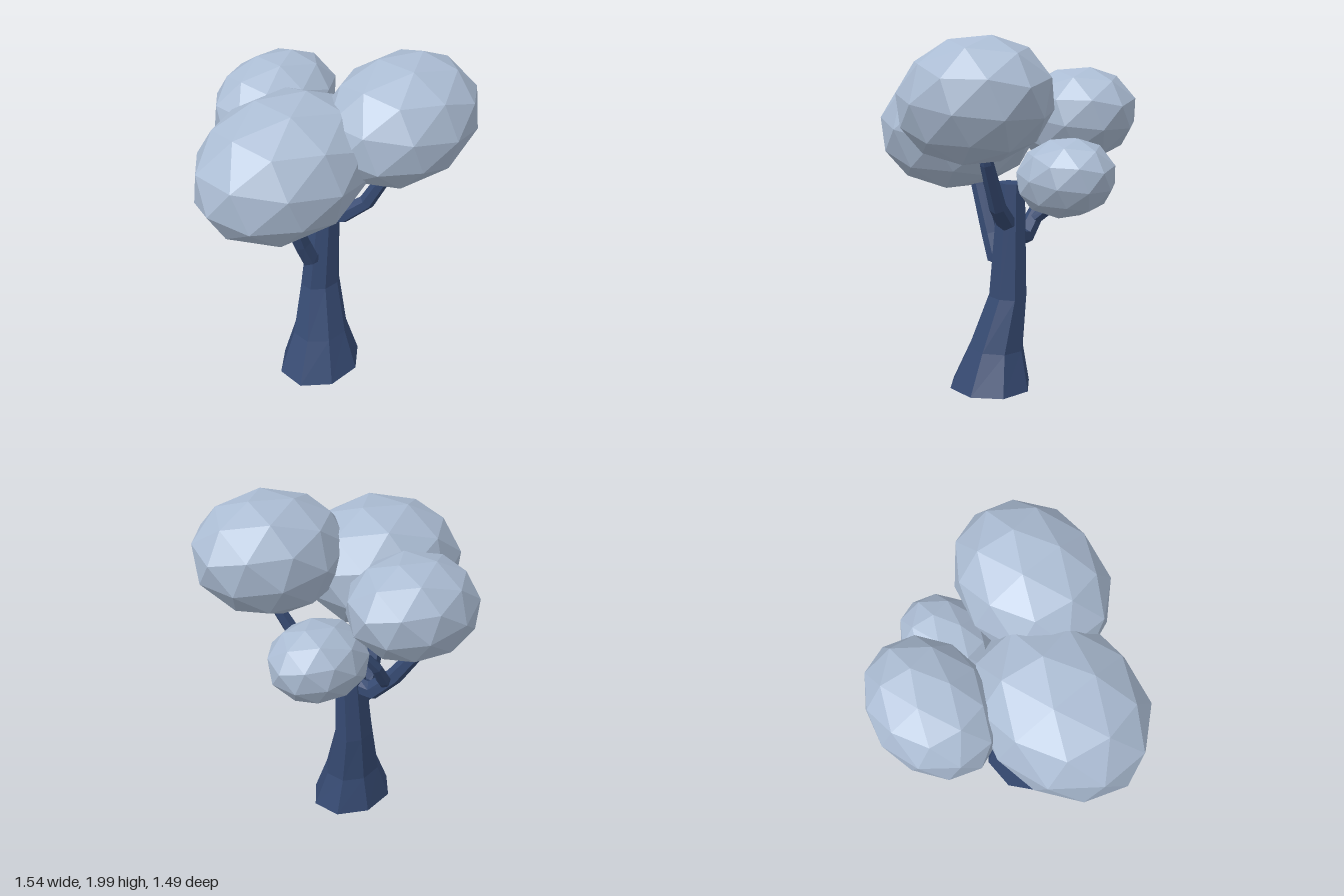
import * as THREE from 'three';

const V = (x, y, z) => new THREE.Vector3(x, y, z);

// Closed skin over a list of rings, each an array of points running counter-clockwise around the path
function loft(rings) {
  const n = rings[0].length, pos = [], idx = [];
  const centre = (ring) => ring.reduce((s, p) => s.add(p), V(0, 0, 0)).divideScalar(n);
  rings.forEach((ring) => ring.forEach((p) => pos.push(p.x, p.y, p.z)));
  for (let i = 0; i < rings.length - 1; i++) {
    for (let j = 0; j < n; j++) {
      const k = (j + 1) % n, a = i * n, b = a + n;
      idx.push(a + j, a + k, b + k, a + j, b + k, b + j);
    }
  }
  const last = (rings.length - 1) * n, c = rings.length * n;
  pos.push(...centre(rings[0]).toArray(), ...centre(rings[rings.length - 1]).toArray());
  for (let j = 0; j < n; j++) {
    const k = (j + 1) % n;
    idx.push(c, k, j, c + 1, last + j, last + k);
  }
  const geo = new THREE.BufferGeometry();
  geo.setAttribute('position', new THREE.Float32BufferAttribute(pos, 3));
  geo.setIndex(idx);
  geo.computeVertexNormals();
  return geo;
}

// Eight-sided trunk from flat oval rings: [x, y, z, radius x, radius z, tilt]
function trunkGeometry(levels, sides = 8) {
  return loft(levels.map(([x, y, z, rx, rz, tilt]) =>
    Array.from({ length: sides }, (_, j) => {
      const a = ((j + 0.5) / sides) * Math.PI * 2;
      const dx = Math.sin(a) * rx * 1.06, dz = Math.cos(a) * rz * 1.06;
      return V(x + dx, y + tilt * (dx * 0.04 - dz * 0.03), z + dz);
    })));
}

// Six-sided branch along a bent path: [x, y, z, radius]
function branchGeometry(path, sides = 6) {
  const pts = path.map(([x, y, z]) => V(x, y, z));
  const span = pts[pts.length - 1].clone().sub(pts[0]);
  const side = V(span.x, 0, span.z).cross(V(0, 1, 0)).normalize();
  return loft(pts.map((p, i) => {
    const t = pts[Math.min(i + 1, pts.length - 1)].clone().sub(pts[Math.max(i - 1, 0)]).normalize();
    const v = side.clone().addScaledVector(t, -side.dot(t)).normalize();
    const u = v.clone().cross(t);
    return Array.from({ length: sides }, (_, j) => {
      const a = (j / sides) * Math.PI * 2, r = path[i][3];
      return p.clone().addScaledVector(u, Math.cos(a) * r).addScaledVector(v, Math.sin(a) * r);
    });
  }));
}

export function createModel() {
  const tree = new THREE.Group();
  tree.name = 'tree';
  const bark = new THREE.MeshStandardMaterial({ color: 0x364a72, flatShading: true });
  bark.name = 'bark blue';
  const leaf = new THREE.MeshStandardMaterial({ color: 0xabbcd3, flatShading: true });
  leaf.name = 'leaf grey';

  const add = (name, geo, mat) => {
    const mesh = new THREE.Mesh(geo, mat);
    mesh.name = name;
    tree.add(mesh);
    return mesh;
  };

  // Trunk, flared and leaning at the foot
  add('trunk', trunkGeometry([
    [0.01, 0.017, 0.07, 0.25, 0.21, 1],
    [0.035, 0.25, 0.045, 0.165, 0.145, 0],
    [0.08, 0.55, -0.005, 0.12, 0.097, 0],
    [0.12, 1.2, 0, 0.08, 0.068, 0],
  ]), bark);

  // Branches, each bending up into a leaf clump
  const branches = {
    rightBranch: [[0.07, 0.76, 0, 0.055], [-0.015, 0.76, 0, 0.06], [-0.075, 0.88, 0, 0.053],
      [-0.175, 1.14, 0.01, 0.043], [-0.24, 1.32, 0.02, 0.035]],
    frontBranch: [[0.12, 0.99, 0.01, 0.05], [0.17, 1.0, 0.08, 0.052], [0.25, 1.1, 0.19, 0.046],
      [0.32, 1.35, 0.31, 0.036], [0.34, 1.5, 0.35, 0.03]],
    backBranch: [[0.1, 0.9, -0.04, 0.052], [0.07, 0.88, -0.13, 0.056], [0.03, 1.0, -0.25, 0.048],
      [-0.02, 1.25, -0.42, 0.036], [-0.03, 1.36, -0.48, 0.03]],
    forkBranch: [[0.05, 0.95, -0.2, 0.036], [0.13, 1.03, -0.25, 0.038],
      [0.21, 1.15, -0.265, 0.032], [0.3, 1.28, -0.22, 0.025]],
  };
  for (const [name, path] of Object.entries(branches)) add(name, branchGeometry(path), bark);

  // Leaf clumps: faceted balls, stretched sideways and tipped up to the left
  const clumps = [
    ['rightLeaves', [-0.275, 1.487, 0.08], [0.515, 0.365, 0.428]],
    ['frontLeaves', [0.293, 1.667, 0.365], [0.462, 0.327, 0.38]],
    ['backLeaves', [0.135, 1.545, -0.432], [0.395, 0.273, 0.316]],
    ['leftLeaves', [0.465, 1.26, -0.09], [0.302, 0.215, 0.242]],
  ];
  for (const [name, centre, size] of clumps) {
    const geo = new THREE.IcosahedronGeometry(1, 1);
    geo.rotateZ(-Math.atan2((1 + Math.sqrt(5)) / 2, 1));
    geo.scale(...size);
    const mesh = add(name, geo, leaf);
    mesh.rotation.z = 0.19;
    mesh.position.set(...centre);
  }
  return tree;
}
